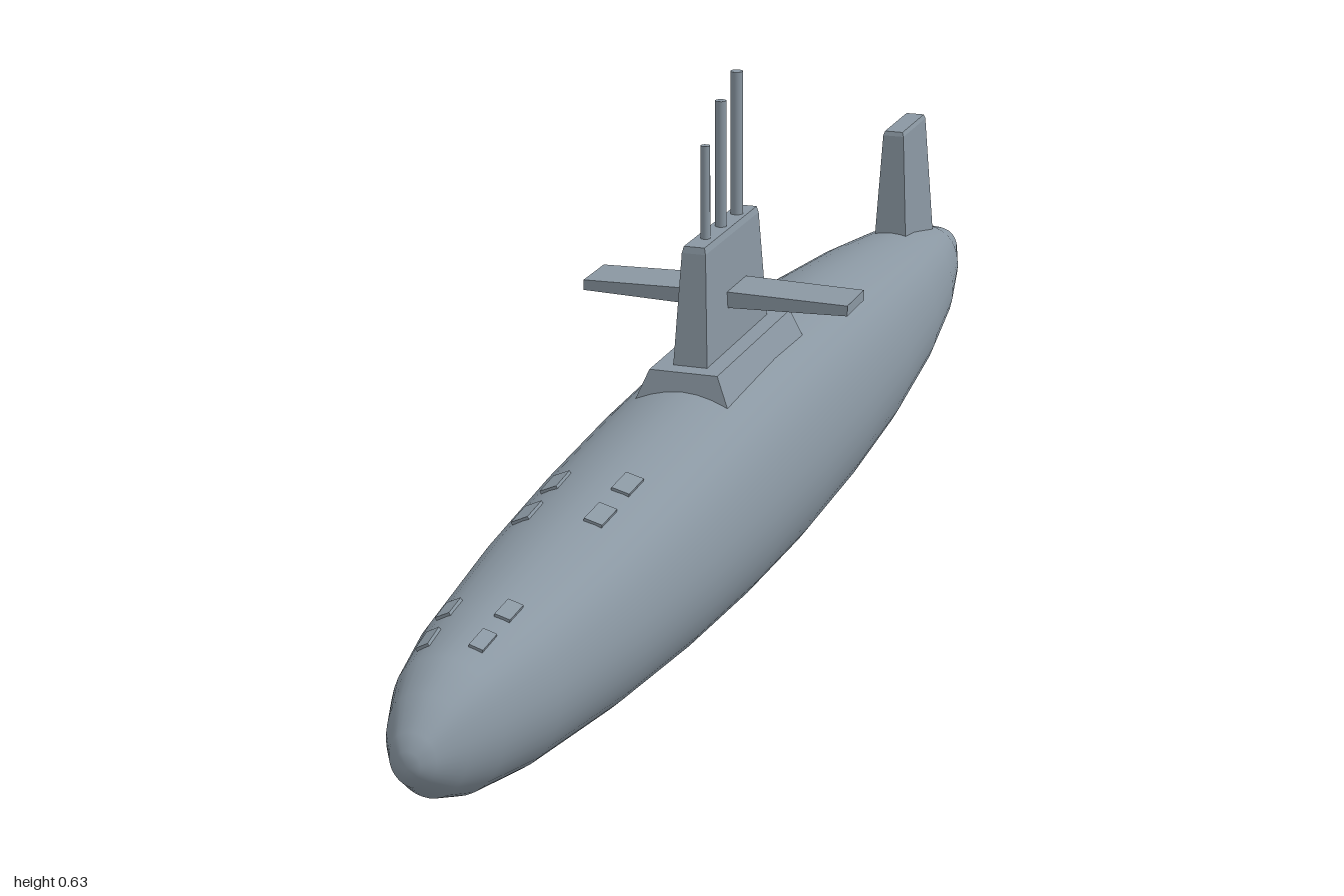
import * as THREE from 'three';
import { mergeVertices } from 'three/addons/utils/BufferGeometryUtils.js';

// Hull stations: z, half width, top y, bottom y
const STATIONS = [
  [1, 0, 0.155, 0.155], [0.996, 0.013, 0.171, 0.141], [0.985, 0.026, 0.187, 0.127],
  [0.95, 0.045, 0.215, 0.1],
  [0.9, 0.063, 0.234, 0.08], [0.8, 0.084, 0.246, 0.061], [0.6, 0.106, 0.263, 0.037],
  [0.4, 0.118, 0.277, 0.018], [0.2, 0.124, 0.287, 0.005], [0, 0.126, 0.291, 0],
  [-0.2, 0.124, 0.287, 0.005], [-0.4, 0.117, 0.275, 0.018], [-0.6, 0.102, 0.256, 0.04],
  [-0.75, 0.083, 0.237, 0.064], [-0.87, 0.058, 0.212, 0.094], [-0.95, 0.035, 0.187, 0.122],
  [-0.985, 0.018, 0.172, 0.14], [-1, 0, 0.155, 0.155],
];

// Point on the hull skin at station s and angle a (0 = left side, PI/2 = top)
function hullPoint([z, w, top, bottom], a) {
  const cy = (top + bottom) / 2, h = (top - bottom) / 2;
  // slight shoulder on both upper flanks
  const shoulder = Math.sin(a) > 0 ? 1 + 0.04 * Math.sin(2 * a) ** 4 : 1;
  return new THREE.Vector3(w * shoulder * Math.cos(a), cy + h * shoulder * Math.sin(a), z);
}

function stationAt(z) {
  const i = Math.max(1, STATIONS.findIndex((s) => s[0] <= z));
  const a = STATIONS[i - 1], b = STATIONS[i], t = (z - a[0]) / (b[0] - a[0]);
  return a.map((v, k) => v + (b[k] - v) * t);
}

function hullGeometry(sides = 40) {
  const pos = [], index = [];
  STATIONS.forEach((s, i) => {
    for (let j = 0; j < sides; j++) {
      pos.push(...hullPoint(s, (j / sides) * Math.PI * 2).toArray());
      if (i === 0) continue;
      const k = (j + 1) % sides, p = (i - 1) * sides, q = i * sides;
      index.push(p + j, q + j, p + k, p + k, q + j, q + k);
    }
  });
  const g = new THREE.BufferGeometry();
  g.setAttribute('position', new THREE.Float32BufferAttribute(pos, 3));
  g.setIndex(index);
  // join the points at the bow and stern tips so they shade smoothly
  const joined = mergeVertices(g);
  joined.computeVertexNormals();
  return joined;
}

// Block whose lower and upper faces are given as [half width, back z, front z]
function taperedBlock(y0, lower, y1, upper) {
  const g = new THREE.BoxGeometry(1, 1, 1), p = g.attributes.position;
  for (let i = 0; i < p.count; i++) {
    const [w, back, front] = p.getY(i) > 0 ? upper : lower;
    p.setXYZ(i, Math.sign(p.getX(i)) * w, p.getY(i) > 0 ? y1 : y0, p.getZ(i) > 0 ? front : back);
  }
  g.computeVertexNormals();
  return g;
}

export function createModel() {
  const model = new THREE.Group();
  model.name = 'submarine';
  const grey = new THREE.MeshStandardMaterial({ color: 0x8a97a2 });
  grey.name = 'hull grey';
  const add = (name, geometry) => {
    const mesh = new THREE.Mesh(geometry, grey);
    mesh.name = name;
    model.add(mesh);
    return mesh;
  };

  add('hull', hullGeometry());

  // Sail on its fairing, and the tail fin
  add('sailFairing', taperedBlock(0.26, [0.064, -0.112, 0.192], 0.31, [0.043, -0.1, 0.182]));
  add('sail', taperedBlock(0.3, [0.022, -0.073, 0.158], 0.447, [0.015, -0.058, 0.143]));
  add('sailCap', taperedBlock(0.447, [0.015, -0.058, 0.143], 0.455, [0.013, -0.056, 0.141]));
  add('tailFin', taperedBlock(0.2, [0.025, -0.848, -0.703], 0.384, [0.015, -0.83, -0.714]));
  add('tailFinCap', taperedBlock(0.384, [0.015, -0.83, -0.714], 0.39, [0.013, -0.828, -0.716]));

  // Sail planes, thinning towards the tips
  for (const side of [1, -1]) {
    const plane = add(side > 0 ? 'leftSailPlane' : 'rightSailPlane',
      taperedBlock(0, [0.0105, 0, 0.073], 0.17, [0.0065, 0, 0.07]));
    plane.position.y = 0.371;
    plane.rotation.z = -side * Math.PI / 2;
  }

  // Masts: z, top y, radius
  [[0.1, 0.57, 0.006], [0.043, 0.612, 0.007], [-0.017, 0.635, 0.008]].forEach(([z, top, r], i) => {
    const mast = add('mast' + (i + 1), new THREE.CylinderGeometry(r, r, top - 0.43, 12));
    mast.position.set(0, (top + 0.43) / 2, z);
  });

  // Small deck hatches lying almost flush in the skin: x, z, width, length
  [[-0.053, 0.46, 0.022, 0.045], [0.032, 0.46, 0.022, 0.045],
    [-0.053, 0.545, 0.022, 0.045], [0.032, 0.545, 0.022, 0.045],
    [-0.042, 0.79, 0.018, 0.035], [0.024, 0.79, 0.018, 0.035],
    [-0.037, 0.855, 0.016, 0.035], [0.022, 0.855, 0.016, 0.035]].forEach(([x, z, w, l], i) => {
    const s = stationAt(z), a = Math.acos(x / s[1]), e = 0.02;
    const point = hullPoint(s, a);
    const across = hullPoint(s, a - e).sub(hullPoint(s, a + e)).normalize();
    const along = hullPoint(stationAt(z + e), a).sub(hullPoint(stationAt(z - e), a)).normalize();
    const up = along.clone().cross(across).normalize();
    const hatch = add('deckHatch' + (i + 1), new THREE.BoxGeometry(w, 0.006, l));
    hatch.position.copy(point);
    hatch.quaternion.setFromRotationMatrix(
      new THREE.Matrix4().makeBasis(across, up, across.clone().cross(up)));
  });
  return model;
}
